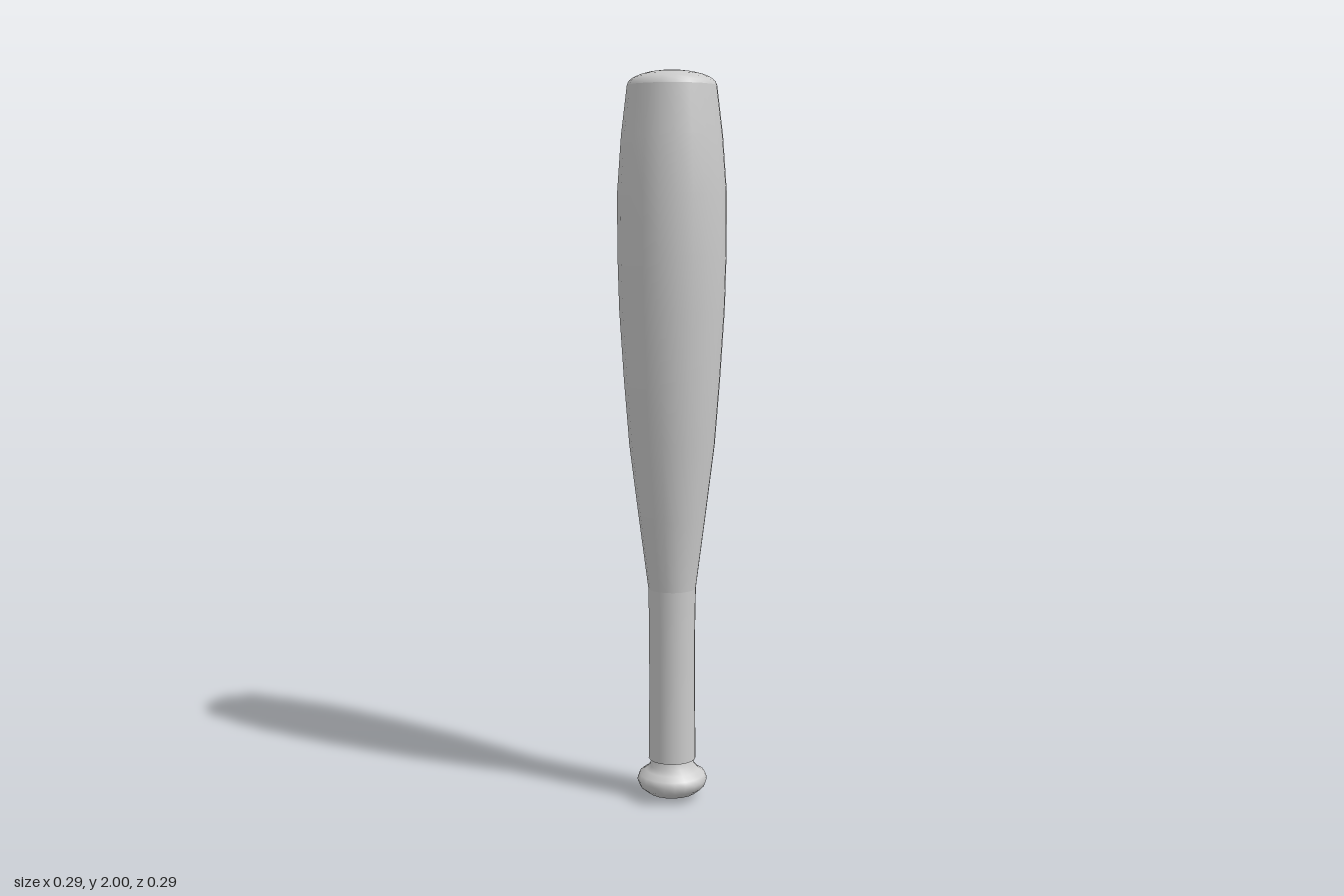
import * as THREE from 'three';

const SIDES = 20;

export function createModel() {
  const group = new THREE.Group();
  group.name = 'bat';
  const material = new THREE.MeshStandardMaterial({ color: 0xcccccc });

  // Each part is a turned profile of [radius, height], listed bottom to top
  const turn = (name, profile) => {
    const points = profile.map(([r, y]) => new THREE.Vector2(r, y));
    const mesh = new THREE.Mesh(new THREE.LatheGeometry(points, SIDES), material);
    mesh.name = name;
    group.add(mesh);
  };

  // Rounded knob with a narrow neck running up into the grip
  turn('knob', [
    [0, 0], [0.04, 0.006], [0.07, 0.016], [0.091, 0.033], [0.098, 0.052],
    [0.092, 0.068], [0.074, 0.08], [0.063, 0.092], [0.058, 0.112],
  ]);

  // Small ledge where the grip wrap ends above the knob
  turn('gripLedge', [[0.056, 0.112], [0.066, 0.112]]);

  // Straight handle grip, very slightly waisted
  turn('grip', [[0.066, 0.112], [0.064, 0.3], [0.064, 0.48], [0.066, 0.6]]);

  // Tapered barrel swelling out and closing in towards the tip
  turn('barrel', [
    [0.066, 0.6], [0.092, 0.8], [0.117, 1.0], [0.131, 1.18],
    [0.143, 1.37], [0.147, 1.52], [0.147, 1.68], [0.136, 1.83], [0.12, 1.96],
  ]);

  // Shallow domed end, an arc rising from the rim to the tip
  const dome = [];
  for (let i = 0; i <= 6; i++) {
    const a = (i / 6) * Math.PI / 2;
    dome.push([0.12 * Math.cos(a), 1.96 + 0.04 * Math.sin(a)]);
  }
  dome[6][0] = 0;
  turn('endCap', dome);

  return group;
}
